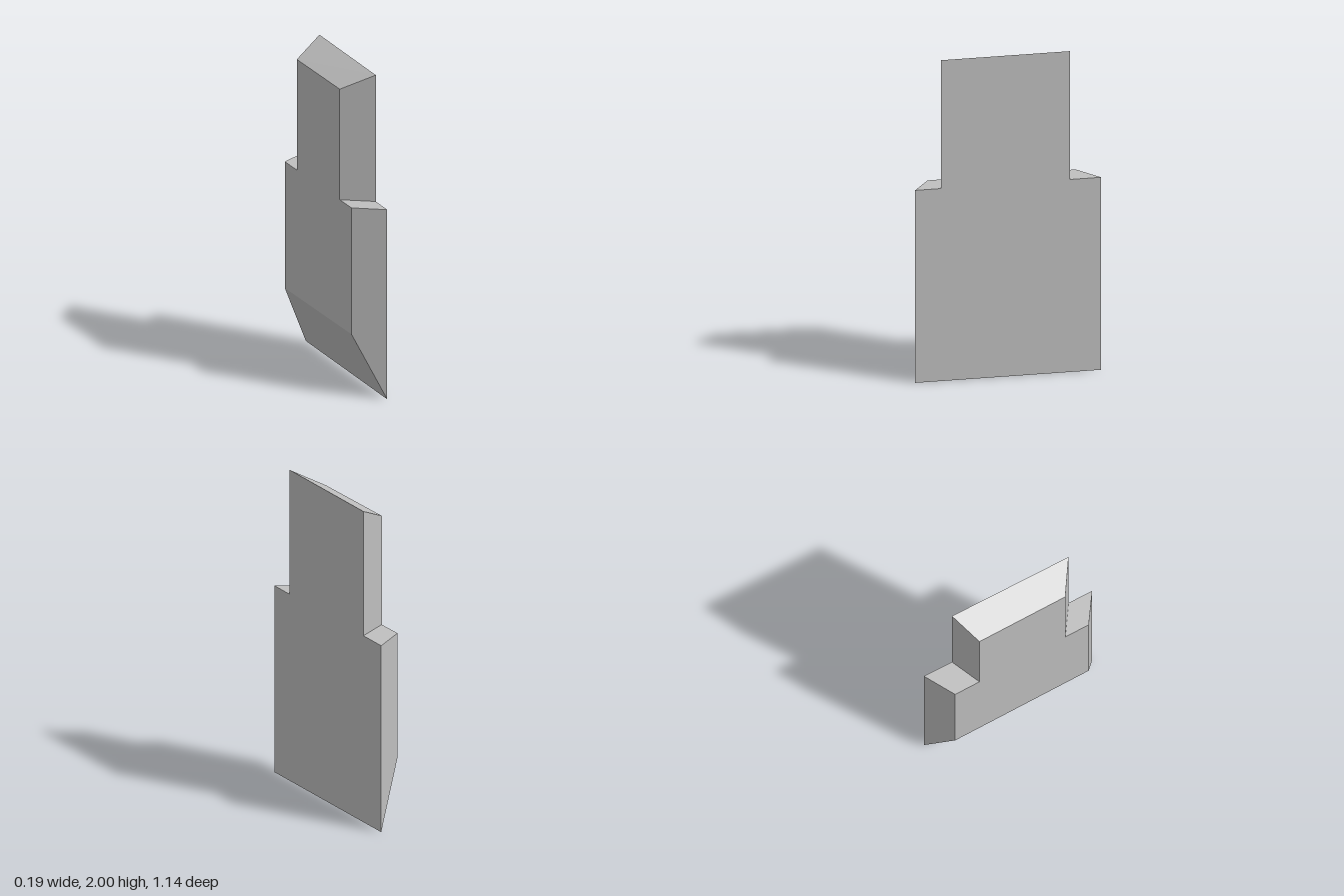
import * as THREE from 'three';

// Outlines as [z, y], running counter-clockwise when seen from -x
const OUTER = [[-0.57, 0], [0.57, 0], [0.57, 1.2], [0.41, 1.2], [0.41, 2], [-0.38, 2], [-0.38, 1.2], [-0.57, 1.2]];
const INNER = [[-0.46, 0.4], [0.45, 0.4], [0.45, 1.2], [0.29, 1.2], [0.29, 1.9], [-0.295, 1.9], [-0.295, 1.2], [-0.46, 1.2]];

// Joins two stepped outlines into a slab with bevelled edges
function beveledSlab() {
  const outer = OUTER.map(([z, y]) => [0.094, y, z]);
  const inner = INNER.map(([z, y]) => [-0.091 + 0.013 * z, y, z]); // slightly slanted face
  const pos = [];
  const tri = (a, b, c) => pos.push(...a, ...b, ...c);

  // Large stepped faces
  const cap = (pts) => THREE.ShapeUtils.triangulateShape(pts.map(([z, y]) => new THREE.Vector2(z, y)), []);
  for (const [a, b, c] of cap(OUTER)) tri(outer[a], outer[c], outer[b]);
  for (const [a, b, c] of cap(INNER)) tri(inner[a], inner[b], inner[c]);

  // Bevelled rim
  for (let i = 0; i < outer.length; i++) {
    const j = (i + 1) % outer.length;
    tri(outer[i], outer[j], inner[j]);
    tri(outer[i], inner[j], inner[i]);
  }

  const geo = new THREE.BufferGeometry();
  geo.setAttribute('position', new THREE.Float32BufferAttribute(pos, 3));
  geo.computeVertexNormals();
  return geo;
}

export function createModel() {
  const group = new THREE.Group();
  group.name = 'steppedPanel';
  const grey = new THREE.MeshStandardMaterial({ color: 0xbfbfbf });
  grey.name = 'grey';
  const slab = new THREE.Mesh(beveledSlab(), grey);
  slab.name = 'beveledSlab';
  group.add(slab);
  return group;
}
